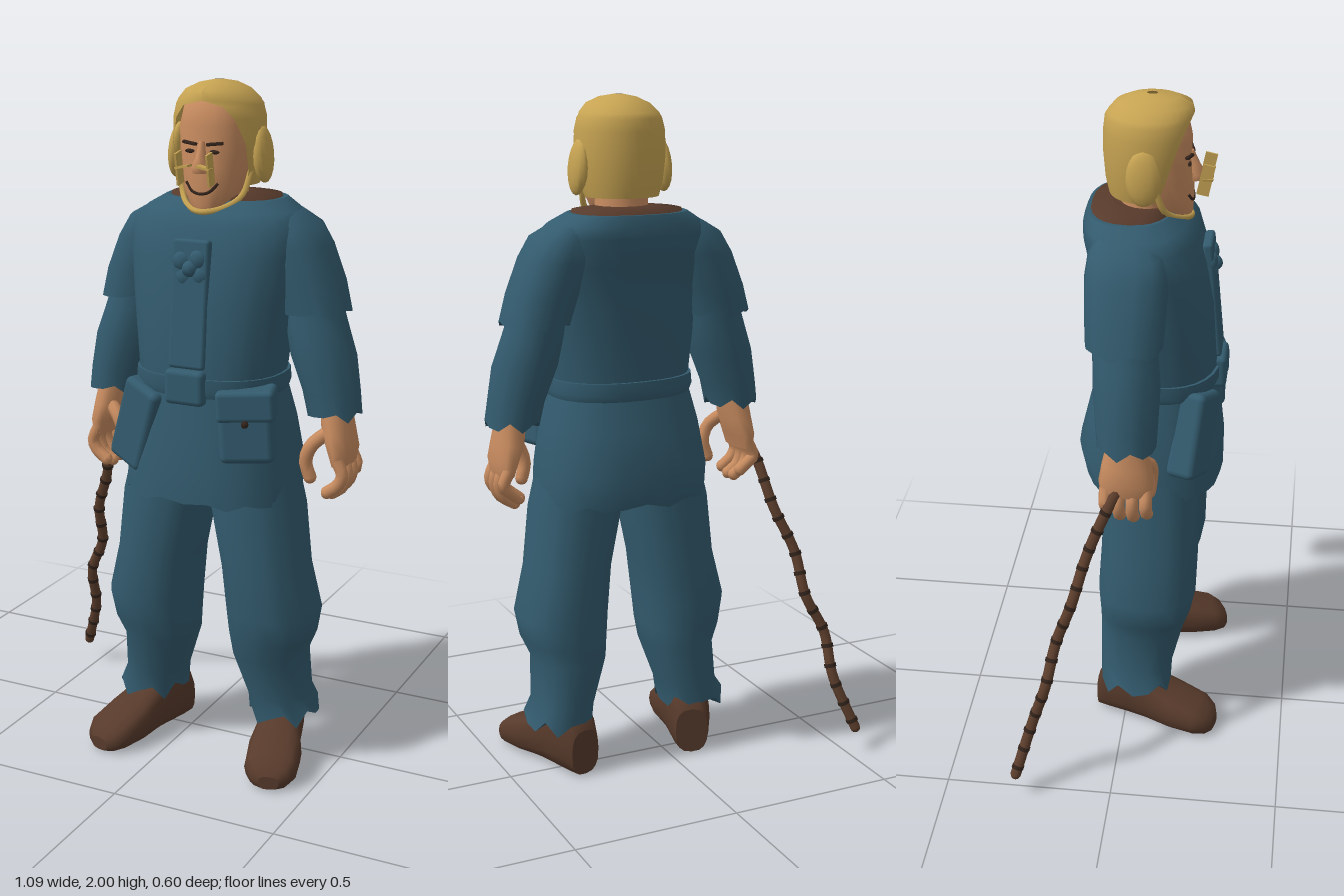
import * as THREE from 'three';
import { RoundedBoxGeometry } from 'three/addons/geometries/RoundedBoxGeometry.js';

const CX = 0.11; // body centre line
const V = (x, y, z) => new THREE.Vector3(x, y, z);

// Skin over stacked elliptical rings [y, cx, cz, rx, rz, frontOpening], listed bottom to top
function loft(rings, { seg = 20, power = 2, jag = 0, caps = true } = {}) {
  const pos = [], idx = [], open = rings.some(r => r[5] !== undefined);
  const cols = open ? seg + 1 : seg;
  const pw = v => Math.sign(v) * Math.pow(Math.abs(v), 2 / power);
  rings.forEach(([y, cx, cz, rx, rz, gap = 0], r) => {
    for (let i = 0; i < cols; i++) {
      const t = gap + (2 * Math.PI - 2 * gap) * i / seg;
      const dy = r === 0 ? jag * Math.sin(i * 2.4) : 0;
      pos.push(cx + rx * pw(Math.sin(t)), y + dy, cz + rz * pw(Math.cos(t)));
    }
  });
  for (let r = 0; r < rings.length - 1; r++) for (let i = 0; i < seg; i++) {
    const j = (i + 1) % cols, a = r * cols + i, b = r * cols + j;
    idx.push(a, b, a + cols, b, b + cols, a + cols);
  }
  if (caps) for (const top of [false, true]) {
    const r = top ? rings.length - 1 : 0, start = pos.length / 3;
    for (let i = 0; i < cols; i++) pos.push(...pos.slice((r * cols + i) * 3, (r * cols + i) * 3 + 3));
    const c = pos.length / 3;
    pos.push(rings[r][1], rings[r][0], rings[r][2]);
    for (let i = 0; i < seg; i++) {
      const a = start + i, b = start + (i + 1) % cols;
      top ? idx.push(a, b, c) : idx.push(b, a, c);
    }
  }
  const g = new THREE.BufferGeometry();
  g.setAttribute('position', new THREE.Float32BufferAttribute(pos, 3));
  g.setIndex(idx);
  g.computeVertexNormals();
  return g;
}

const tube = (pts, r, n = 12, sides = 8) => new THREE.TubeGeometry(new THREE.CatmullRomCurve3(pts), n, r, sides);

export function createModel() {
  const root = new THREE.Group();
  const mat = (name, color) => Object.assign(new THREE.MeshStandardMaterial({ color, side: THREE.DoubleSide }), { name });
  const cloth = mat('blue cloth', 0x335b6e), skin = mat('skin', 0xc88c60), hair = mat('blond hair', 0xc6a352);
  const leather = mat('brown leather', 0x573a2b), wood = mat('wood', 0x5e3f2d), dark = mat('dark brown', 0x33241c);
  const add = (name, geo, m, p = [0, 0, 0], rot = [0, 0, 0], parent = root) => {
    const mesh = new THREE.Mesh(geo, m);
    mesh.name = name;
    mesh.position.set(...p);
    mesh.rotation.set(...rot);
    parent.add(mesh);
    return mesh;
  };

  // Tunic, skirt and belt
  add('tunic', loft([
    [1.14, CX, 0.075, 0.2, 0.165], [1.2, CX, 0.078, 0.212, 0.177], [1.4, CX, 0.07, 0.235, 0.17],
    [1.53, CX, 0.045, 0.255, 0.17], [1.61, CX, 0.025, 0.26, 0.165], [1.645, CX, 0.01, 0.225, 0.15],
    [1.675, CX, -0.005, 0.175, 0.125]], { seg: 28, power: 2.4 }), cloth);
  add('skirt', loft([
    [0.83, CX, 0.068, 0.258, 0.208], [0.92, CX, 0.058, 0.255, 0.218], [1.05, CX, 0.066, 0.235, 0.195],
    [1.17, CX, 0.075, 0.205, 0.172]], { seg: 28, power: 2.4, jag: 0.01 }), cloth);
  add('belt', loft([[1.14, CX, 0.075, 0.213, 0.18], [1.16, CX, 0.075, 0.22, 0.187], [1.195, CX, 0.077, 0.218, 0.185]],
    { seg: 28, power: 2.4 }), cloth);
  add('buckle', new RoundedBoxGeometry(0.12, 0.1, 0.04, 2, 0.015), cloth, [CX, 1.17, 0.26]);
  add('frontPlacket', new RoundedBoxGeometry(0.11, 0.36, 0.03, 2, 0.01), cloth, [CX, 1.4, 0.232], [-0.1, 0, 0]);
  add('collar', loft([[1.63, CX, -0.003, 0.175, 0.128], [1.682, CX, -0.003, 0.16, 0.115], [1.69, CX, 0.01, 0.08, 0.07]],
    { seg: 24, power: 2.4 }), leather);

  // Knotted cloth clasp on the chest
  const clasp = new THREE.Group();
  clasp.name = 'chestClasp';
  clasp.position.set(CX, 1.5, 0.228);
  root.add(clasp);
  for (let i = 0; i < 4; i++) {
    const a = Math.PI / 4 + i * Math.PI / 2 + 0.15;
    const lobe = add('claspLobe', new THREE.SphereGeometry(0.028, 8, 6), cloth,
      [Math.cos(a) * 0.036, Math.sin(a) * 0.032, 0], [0, 0, 0], clasp);
    lobe.scale.z = 0.6;
  }
  add('claspKnot', new THREE.SphereGeometry(0.024, 8, 6), cloth, [0, 0, 0.005], [0, 0, 0], clasp);

  // Pouches on the belt
  add('rightPouch', new RoundedBoxGeometry(0.135, 0.26, 0.09, 2, 0.02), cloth, [-0.063, 1.03, 0.195], [0, -0.35, -0.32]);
  add('leftPouch', new RoundedBoxGeometry(0.155, 0.2, 0.1, 2, 0.02), cloth, [0.275, 1.065, 0.205], [0, 0.3, 0.06]);
  add('leftPouchFlap', new RoundedBoxGeometry(0.165, 0.09, 0.112, 2, 0.015), cloth, [0.273, 1.13, 0.205], [0, 0.3, 0.06]);
  add('pouchButton', new THREE.SphereGeometry(0.011, 8, 6), dark, [0.293, 1.085, 0.262]);

  // Limbs, mirrored about the centre line
  for (const m of [-1, 1]) {
    const side = m < 0 ? 'right' : 'left', X = d => CX + m * d;
    const limb = (name, rings, o) => add(side + name, loft(rings.map(([y, d, ...r]) => [y, X(d), ...r]), o), cloth);
    limb('Sleeve', [
      [1.37, 0.285, 0.005, 0.098, 0.11], [1.45, 0.262, 0.005, 0.1, 0.115], [1.55, 0.222, 0.005, 0.1, 0.118],
      [1.61, 0.2, 0.005, 0.085, 0.11], [1.645, 0.18, 0, 0.045, 0.08]], { seg: 14, power: 2.3, jag: 0.012 });
    limb('Forearm', [
      [1.085, 0.353, 0.02, 0.078, 0.085], [1.15, 0.34, 0.018, 0.083, 0.09], [1.25, 0.312, 0.015, 0.096, 0.096],
      [1.33, 0.29, 0.01, 0.09, 0.094], [1.42, 0.27, 0.005, 0.08, 0.09]], { seg: 14, jag: 0.016 });
    limb('TrouserLeg', [
      [0.15, 0.22, 0.035, 0.1, 0.11], [0.21, 0.205, 0.035, 0.09, 0.112], [0.34, 0.18, 0.05, 0.108, 0.13],
      [0.4, 0.19, 0.06, 0.125, 0.14], [0.48, 0.194, 0.065, 0.135, 0.15], [0.62, 0.17, 0.07, 0.125, 0.148],
      [0.8, 0.142, 0.07, 0.135, 0.145], [1, 0.115, 0.07, 0.115, 0.13]], { seg: 16, power: 2.3, jag: 0.025 });

    // Boot lofted from heel to toe
    const boot = loft([
      [-0.08, 0, -0.07, 0.05, 0.07], [-0.05, 0, -0.1, 0.062, 0.1], [0.03, 0, -0.1, 0.066, 0.1],
      [0.09, 0, -0.078, 0.066, 0.078], [0.17, 0, -0.06, 0.08, 0.06], [0.25, 0, -0.046, 0.078, 0.046],
      [0.285, 0, -0.034, 0.058, 0.034], [0.3, 0, -0.025, 0.03, 0.02]], { seg: 16, power: 2.7 });
    boot.rotateX(Math.PI / 2);
    add(side + 'Boot', boot, leather, [X(0.2), 0, 0], [0, m * 0.27, 0]);

    // Hand with curled fingers
    const hand = new THREE.Group();
    hand.name = side + 'Hand';
    root.add(hand);
    const H = (...a) => add(a[0], a[1], skin, a[2], [0, 0, 0], hand);
    H('palm', loft([[0.94, X(0.385), 0.022, 0.027, 0.073], [0.98, X(0.382), 0.022, 0.038, 0.08],
      [1.03, X(0.368), 0.022, 0.045, 0.072], [1.11, X(0.355), 0.02, 0.045, 0.052]], { seg: 14 }));
    for (let i = 0; i < 4; i++) {
      const z = 0.08 - i * 0.039, tip = 0.838 + [0.012, 0, 0.004, 0.028][i];
      H('finger', tube([V(X(0.385), 0.96, z), V(X(0.403), 0.915, z), V(X(0.39), tip + 0.035, z), V(X(0.358), tip + 0.01, z)], 0.0185, 8));
      H('fingertip', new THREE.SphereGeometry(0.0185, 8, 6), [X(0.358), tip + 0.01, z]);
    }
    H('thumb', tube([V(X(0.36), 1.04, 0.055), V(X(0.31), 0.995, 0.085), V(X(0.293), 0.945, 0.085), V(X(0.305), 0.9, 0.08)], 0.02, 8));
    H('thumbTip', new THREE.SphereGeometry(0.02, 8, 6), [X(0.305), 0.9, 0.08]);

    // Face and hair parts of each side
    const eye = add(side + 'Eye', new THREE.SphereGeometry(0.013, 10, 6), dark, [X(0.037), 1.812, 0.158]);
    eye.scale.set(1.2, 0.45, 0.4);
    add(side + 'Brow', new RoundedBoxGeometry(0.048, 0.009, 0.012, 1, 0.003), dark, [X(0.038), 1.834, 0.158], [0, m * 0.25, m * 0.1]);
    const bun = add(side + 'EarTuft', new THREE.SphereGeometry(0.05, 14, 10), hair, [X(0.13), 1.8, 0.04], [0, 0, m * 0.1]);
    bun.scale.set(0.5, 1.6, 1);
    add(side + 'Whisker', new THREE.BoxGeometry(0.006, 0.09, 0.035), hair, [X(0.047), 1.77, 0.205], [0.2, 0, 0]);
    add(side + 'WhiskerTop', new THREE.BoxGeometry(0.04, 0.006, 0.03), hair, [X(0.032), 1.775, 0.21], [0, 0, -m * 0.2]);
  }

  // Head
  add('neck', loft([[1.58, CX, 0.02, 0.09, 0.075], [1.66, CX, 0.03, 0.08, 0.072], [1.76, CX, 0.04, 0.075, 0.075]]), skin);
  add('face', loft([
    [1.645, CX, 0.12, 0.035, 0.042], [1.665, CX, 0.1, 0.056, 0.068], [1.71, CX, 0.082, 0.082, 0.088],
    [1.77, CX, 0.065, 0.096, 0.104], [1.82, CX, 0.057, 0.104, 0.104], [1.88, CX, 0.055, 0.104, 0.108],
    [1.94, CX, 0.05, 0.092, 0.1], [1.975, CX, 0.05, 0.055, 0.06]], { power: 2.2 }), skin);
  add('nose', loft([[1.755, CX, 0.165, 0.024, 0.03], [1.772, CX, 0.165, 0.026, 0.038], [1.8, CX, 0.16, 0.014, 0.026],
    [1.84, CX, 0.155, 0.01, 0.012]], { seg: 10 }), skin);
  add('mouth', tube([V(CX - 0.048, 1.727, 0.156), V(CX - 0.025, 1.703, 0.166), V(CX, 1.697, 0.169),
    V(CX + 0.025, 1.703, 0.166), V(CX + 0.048, 1.727, 0.156)], 0.0045, 14, 6), dark);
  add('hair', loft([
    [1.715, CX, 0.03, 0.108, 0.1, 1.15], [1.76, CX, 0.038, 0.122, 0.118, 1.1], [1.83, CX, 0.044, 0.132, 0.13, 1.0],
    [1.9, CX, 0.044, 0.13, 0.13, 0.75], [1.935, CX, 0.045, 0.121, 0.127, 0.5], [1.95, CX, 0.047, 0.113, 0.12, 0],
    [1.975, CX, 0.055, 0.088, 0.106, 0], [1.992, CX, 0.055, 0.052, 0.07, 0], [2, CX, 0.05, 0.012, 0.015, 0]],
    { seg: 30, caps: false }), hair);
  add('chinBeard', tube([V(CX - 0.108, 1.76, 0.07), V(CX - 0.092, 1.69, 0.095), V(CX - 0.055, 1.658, 0.135), V(CX, 1.647, 0.165),
    V(CX + 0.055, 1.658, 0.135), V(CX + 0.092, 1.69, 0.095), V(CX + 0.108, 1.76, 0.07)], 0.009, 28, 6), hair);

  // Crooked walking stick with dark bark rings
  const path = new THREE.CatmullRomCurve3([V(-0.275, 1.0, 0.02), V(-0.31, 0.9, -0.03), V(-0.34, 0.76, -0.085), V(-0.395, 0.62, -0.125),
    V(-0.41, 0.49, -0.17), V(-0.465, 0.37, -0.195), V(-0.475, 0.24, -0.235), V(-0.532, 0.075, -0.283)]);
  add('walkingStick', new THREE.TubeGeometry(path, 48, 0.016, 8), wood);
  add('stickTip', new THREE.SphereGeometry(0.016, 8, 6), wood, path.getPoint(1).toArray());
  for (let i = 0; i < 15; i++) {
    const u = 0.12 + i * 0.061, ring = add('barkRing', new THREE.CylinderGeometry(0.0185, 0.0185, 0.012, 8), dark, path.getPointAt(u).toArray());
    ring.quaternion.setFromUnitVectors(V(0, 1, 0), path.getTangentAt(u));
  }
  return root;
}
